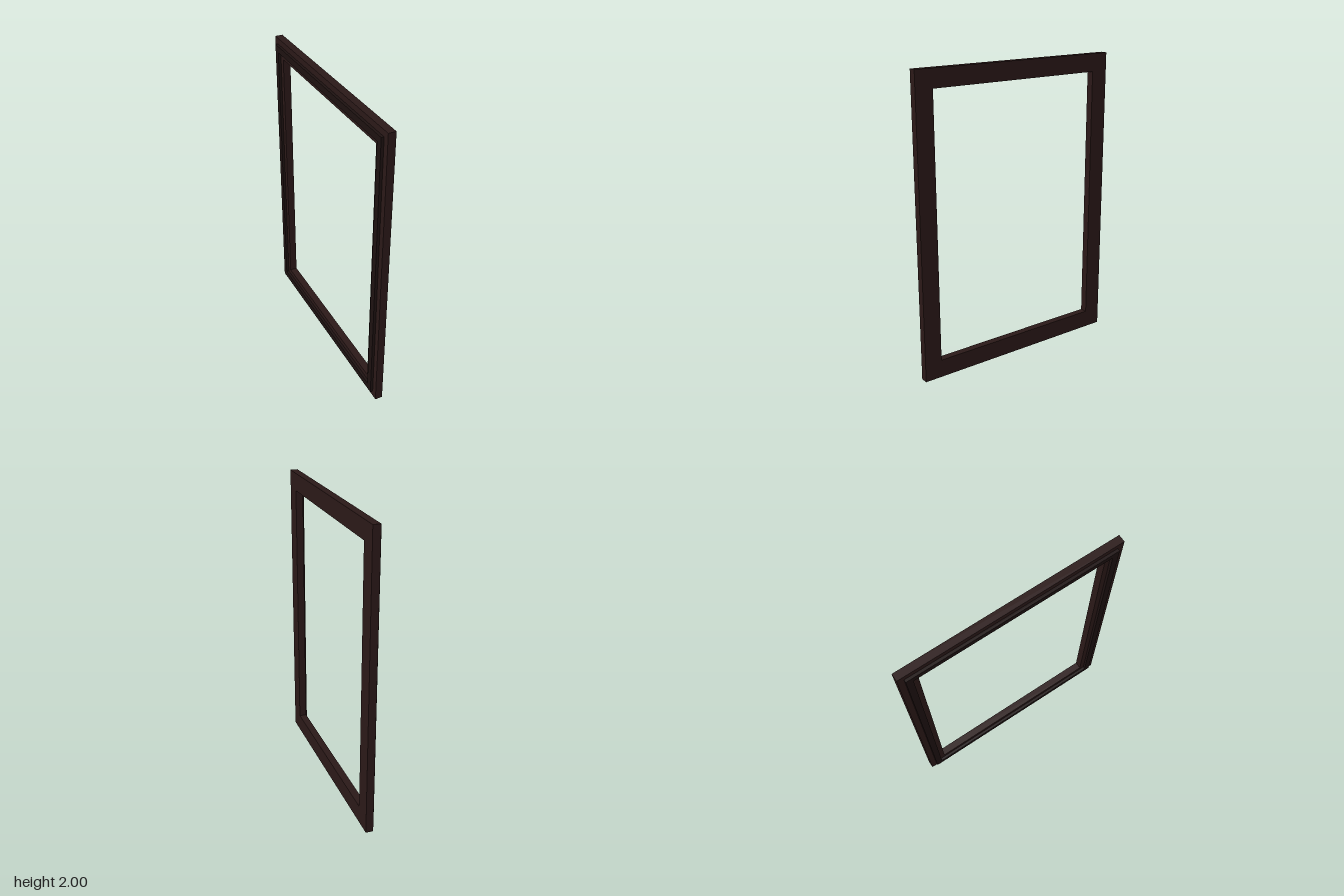
import * as THREE from 'three';

const HALF_W = 0.745, HALF_H = 1;

// Rectangular ring between two insets from the outer edge, from z0 to z1
function ring(name, insetOuter, insetInner, z0, z1, color) {
  const corners = (inset) => {
    const w = HALF_W - inset, h = HALF_H - inset;
    return [[-w, -h], [w, -h], [w, h], [-w, h]].map(([x, y]) => new THREE.Vector2(x, y));
  };
  const shape = new THREE.Shape(corners(insetOuter));
  shape.holes.push(new THREE.Path(corners(insetInner).reverse()));
  const geometry = new THREE.ExtrudeGeometry(shape, { depth: z1 - z0, bevelEnabled: false });
  geometry.translate(0, 0, z0);
  const mesh = new THREE.Mesh(geometry, new THREE.MeshStandardMaterial({ color }));
  mesh.name = name;
  return mesh;
}

export function createModel() {
  const model = new THREE.Group();
  model.name = 'pictureFrame';

  // Main border, and the raised moulding running round its front
  model.add(ring('frameBorder', 0, 0.12, -0.025, 0.025, 0x2b1918));
  model.add(ring('raisedMoulding', 0.04, 0.083, 0.025, 0.043, 0x1e1211));

  // The frame stands turned about the vertical
  model.rotation.y = THREE.MathUtils.degToRad(-35);
  model.position.y = HALF_H;

  const root = new THREE.Group();
  root.name = 'frame';
  root.add(model);
  return root;
}
